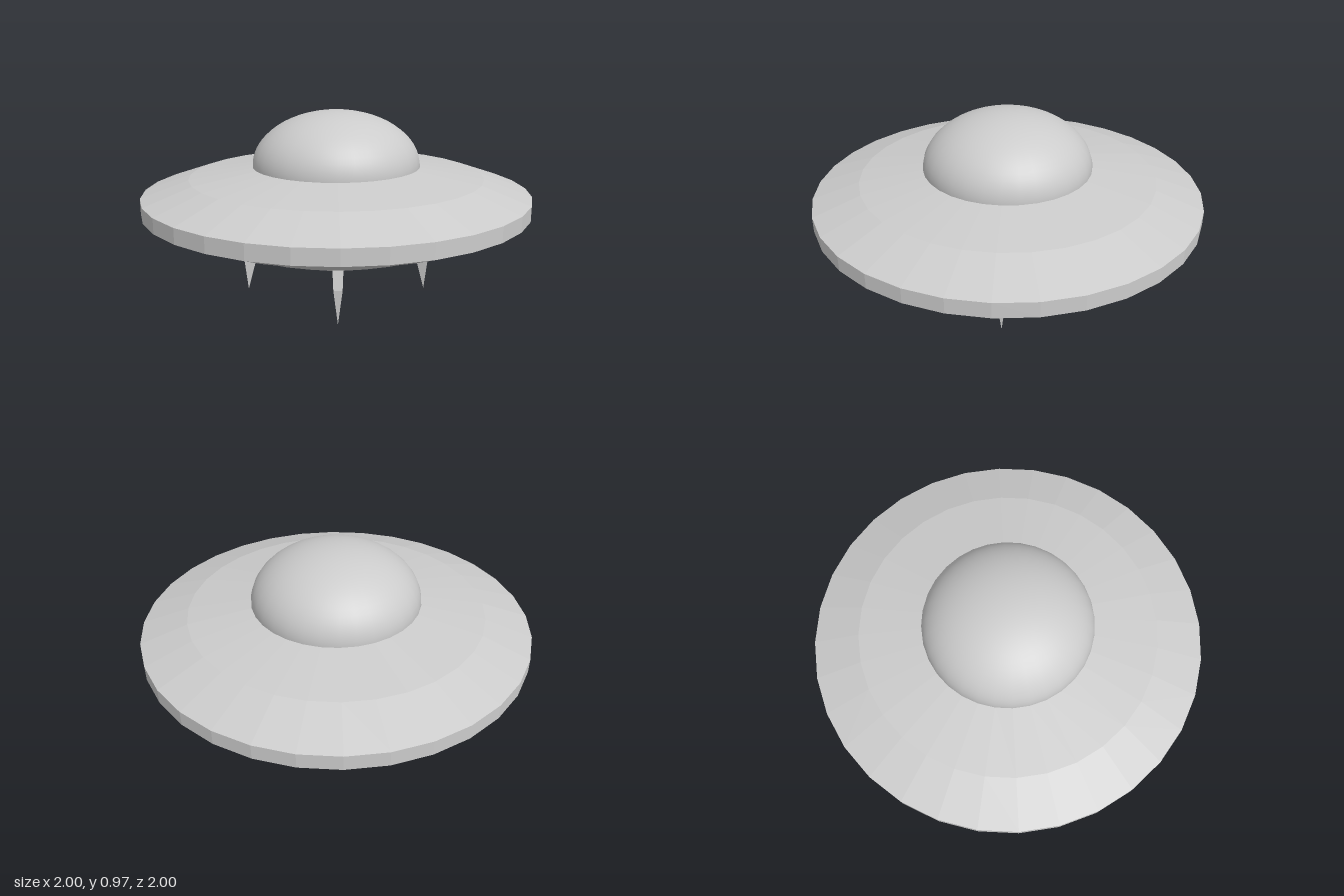
import * as THREE from 'three';

const flat = new THREE.MeshStandardMaterial({ color: 0xcccccc, flatShading: true });
const smooth = new THREE.MeshStandardMaterial({ color: 0xcccccc });

function part(name, geometry, material) {
  const mesh = new THREE.Mesh(geometry, material);
  mesh.name = name;
  return mesh;
}

// Wedge-shaped leg in the radial plane (+x outward): wide outer face, sharp inner edge
function legGeometry() {
  const corners = [
    [0.472, 0.306, 0.027], [0.472, 0.306, -0.027], // 0,1 top of outer face
    [0.494, 0.186, 0.022], [0.494, 0.186, -0.022], // 2,3 outer knee
    [0.348, 0.23, 0], [0.438, 0.15, 0],            // 4,5 inner edge and inner knee
    [0.477, 0.005, 0],                             // 6 tip
  ];
  const faces = [
    0, 2, 3, 0, 3, 1, 2, 6, 3, // outer
    0, 4, 5, 0, 5, 2, 2, 5, 6, // +z side
    1, 5, 4, 1, 3, 5, 3, 6, 5, // -z side
    0, 1, 4,                   // top
  ];
  const geometry = new THREE.BufferGeometry();
  geometry.setAttribute('position', new THREE.Float32BufferAttribute(corners.flat(), 3));
  geometry.setIndex(faces);
  const faceted = geometry.toNonIndexed();
  faceted.computeVertexNormals();
  return faceted;
}

export function createModel() {
  const model = new THREE.Group();
  model.name = 'flyingSaucer';

  // Hull: recessed hatch, stepped underside, upright rim, sloped deck
  const profile = [
    [0, 0.265], [0.24, 0.265], [0.24, 0.23], [0.342, 0.23], [0.48, 0.31],
    [0.61, 0.33], [0.735, 0.383], [0.855, 0.427], [1, 0.487],
    [1, 0.563], [0.76, 0.645], [0.43, 0.695], [0, 0.695],
  ].map(([x, y]) => new THREE.Vector2(x, y));
  model.add(part('hull', new THREE.LatheGeometry(profile, 32), flat));

  // Dome: flattened half sphere
  const dome = part('dome', new THREE.SphereGeometry(0.435, 32, 16, 0, Math.PI * 2, 0, Math.PI / 2), smooth);
  dome.scale.y = 0.285 / 0.435;
  dome.position.y = 0.694;
  model.add(dome);

  // Four legs on the diagonals
  const geometry = legGeometry();
  for (let i = 0; i < 4; i++) {
    const leg = part('leg' + (i + 1), geometry, flat);
    leg.rotation.y = Math.PI / 4 + (i * Math.PI) / 2;
    model.add(leg);
  }
  return model;
}
